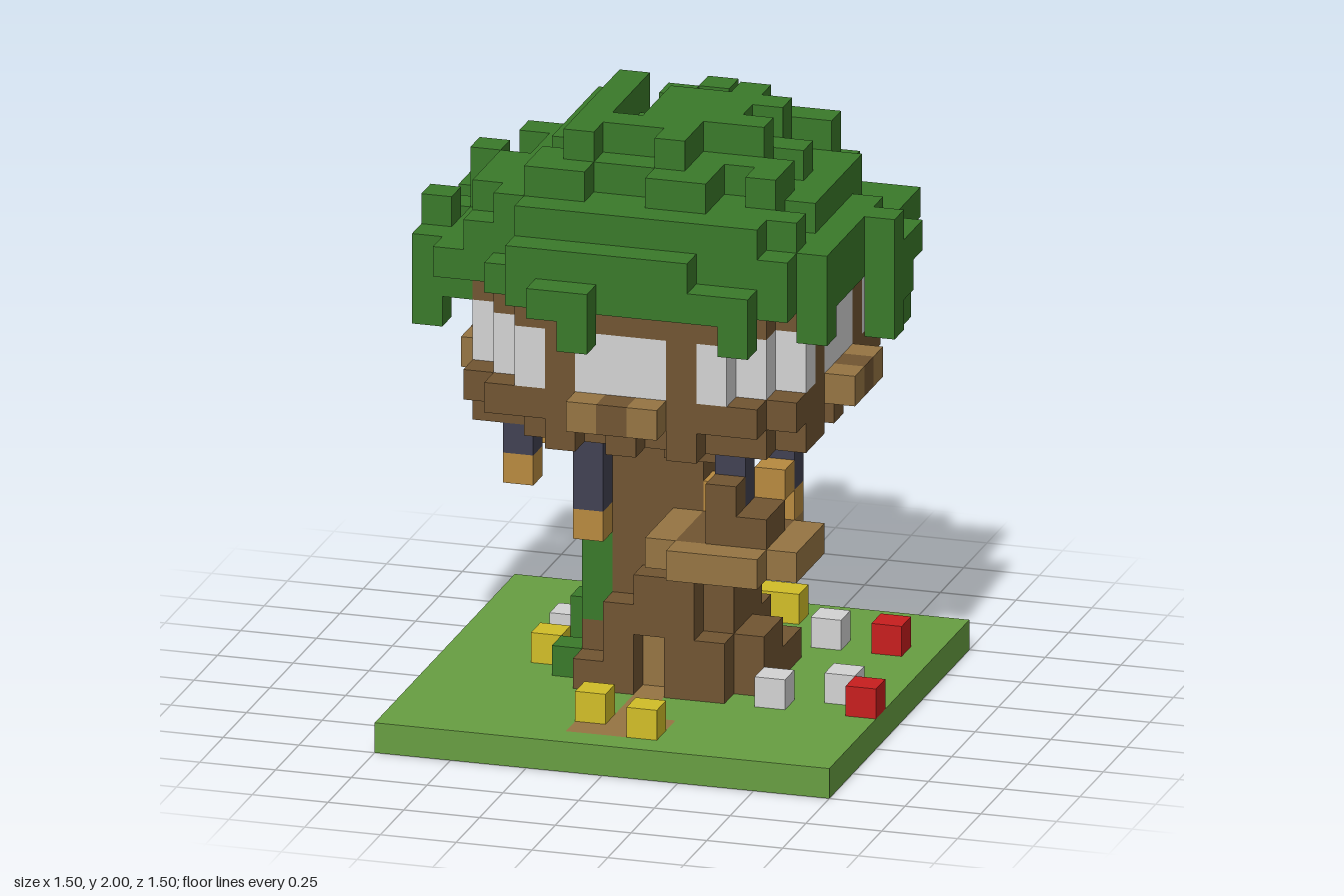
import * as THREE from 'three';

const UNIT = 0.1; // edge of one block

const paint = (name, color) => {
  const m = new THREE.MeshStandardMaterial({ color });
  m.name = name;
  return m;
};

const mats = {
  leaf: paint('leaf green', 0x3a7a2a),
  grass: paint('grass green', 0x689f42),
  bark: paint('bark brown', 0x715532),
  plank: paint('plank tan', 0x967543),
  lamp: paint('lamp amber', 0xb88a40),
  iron: paint('iron navy', 0x414152),
  glass: paint('pale grey', 0xd4d4d4),
  yellow: paint('petal yellow', 0xd2be28),
  red: paint('petal red', 0xc81e1e),
  blue: paint('petal blue', 0x4060c8),
};

// Repeatable pseudo-random value in 0..1 for a cell
const noise = (x, z) => {
  const s = Math.sin(x * 12.99 + z * 78.23 + 3.1) * 43758.55;
  return s - Math.floor(s);
};

export function createModel() {
  const cells = new Map(); // "x,y,z" -> part key
  const parts = new Map(); // part key -> material
  const key = (x, y, z) => `${x},${y},${z}`;

  // Fill a column of blocks from y0 up to y1
  const column = (part, mat, x, z, y0, y1) => {
    parts.set(part, mats[mat]);
    for (let y = y0; y < y1; y++) cells.set(key(x, y, z), part);
  };
  const eachCell = (r, fn) => {
    for (let x = -r; x <= r; x++) for (let z = -r; z <= r; z++) fn(x, z);
  };

  // Lawn with the path laid flush into it
  eachCell(7, (x, z) => column('lawn', 'grass', x, z, 0, 1));
  for (const [x, z] of [[0, 2], [0, 3], [0, 4], [0, 5], [0, 6], [1, 5], [-1, 6]]) column('path', 'plank', x, z, 0, 1);

  // Trunk, flared under the house, and the stepped roots around it
  eachCell(1, (x, z) => column('trunk', 'bark', x, z, 0, 11));
  for (const [x, z] of [[2, 0], [2, 1], [2, 2], [1, 2]]) column('trunk', 'bark', x, z, 9, 10);
  const roots = [
    [3, 0, 3], [3, -1, 2], [3, 1, 3], [2, 0, 5], [2, 1, 5], [2, -1, 4], [2, 2, 3], [2, -2, 3],
    [1, 2, 5], [-1, 2, 4], [-2, 2, 2], [-2, 1, 3], [-2, 0, 3], [-2, -1, 3], [-2, -2, 2],
    [-1, -2, 4], [0, -2, 4], [1, -2, 3], [0, -3, 3], [1, -3, 3], [-2, -3, 2], [3, -2, 2],
  ];
  for (const [x, z, top] of roots) column('roots', 'bark', x, z, Math.abs(x * z) < 3 ? 0 : 1, top);

  // Recessed door under a lintel
  column('lintel', 'bark', 0, 2, 3, 5);
  column('door', 'plank', 0, 1, 1, 3);

  // Side deck with a bench
  for (let x = 1; x <= 5; x++) for (let z = 1; z <= 5; z++) {
    const corner = (x === 5 && (z === 5 || z === 1)) || (x === 1 && z === 5);
    if (corner || (x === 1 && z === 1)) continue;
    const rim = x === 5 || z === 5 || x === 1 || z === 1 || x + z > 7;
    column(rim ? 'deckRim' : 'deckFloor', rim ? 'plank' : 'bark', x, z, 6, 7);
  }
  for (const [x, z, top] of [[3, 4, 9], [4, 4, 8], [3, 3, 8], [4, 3, 8], [3, 2, 8]]) column('bench', 'bark', x, z, 7, top);
  column('stool', 'lamp', 2, 1, 7, 8);
  column('deckLamp', 'lamp', 4, 2, 8, 9);

  // Round house: ragged underside open on one side, floor with a ledge,
  // glazed wall with posts, roof beam
  eachCell(5, (x, z) => {
    const r = Math.hypot(x, z);
    if (r > 6.45) return;
    column('houseFloor', 'bark', x, z, 11, 12);
    if (r > 5.9) return;
    const open = x > 1 && z > -4 && z < 2 && z !== 0;
    const ragged = noise(z, x) > 0.5;
    if (!open && (r < 4.3 || ragged || x * z === 0)) column('underfloor', 'bark', x, z, 10, 11);
    if (r > 4.6) column('windows', 'glass', x, z, 12, 14);
    column('roofBeam', 'bark', x, z, 14, 15);
  });
  column('underfloor', 'bark', 4, -4, 10, 11);
  column('roofBeam', 'bark', 0, -6, 14, 15);
  for (const a of [-1, 1]) {
    column('houseFloor', 'bark', 0, 6 * a, 11, 12);
    column('houseFloor', 'bark', 6 * a, 0, 11, 12);
    for (const b of [-1, 1]) {
      column('posts', 'bark', 2 * a, 5 * b, 12, 14);
      column('posts', 'bark', 5 * a, 2 * b, 12, 14);
      column('sills', 'plank', a, 6 * b, 11, 12);
      column('sills', 'plank', 6 * a, b, 11, 12);
    }
  }

  // Hanging lanterns: [x, z, rod bottom, rod top]
  const lanterns = [
    [4, 1, 8, 11], [-2, -4, 8, 10], [1, -4, 9, 10], [-4, -1, 9, 10], [-4, 3, 9, 10], [-2, 2, 7, 10],
  ];
  for (const [x, z, y0, y1] of lanterns) {
    column('lanternRods', 'iron', x, z, y0, y1);
    column('lanterns', 'lamp', x, z, y0 - 1, y0);
  }
  column('lanternRods', 'iron', 3, 3, 8, 10);

  // Vines: [x, z, bottom, top]
  const vines = [
    [-1, -2, 5, 10], [-2, -2, 5, 7], [-2, -1, 3, 6], [-3, -1, 1, 3], [-2, 1, 3, 6], [-3, 1, 1, 2],
    [0, -2, 9, 10], [1, -2, 9, 11], [2, -2, 9, 11], [2, -1, 9, 11], [1, -3, 9, 10],
  ];
  for (const [x, z, y0, y1] of vines) column('vines', 'leaf', x, z, y0, y1);

  // Crown: outline per row, capped heights, uneven domed top
  const rows = [
    [-4, 2], [-4, 3], [-4, 6], [-6, 6], [-7, 6], [-7, 7], [-6, 7], [-7, 7],
    [-6, 6], [-7, 6], [-7, 6], [-6, 6], [-4, 5], [-3, 4], [-2, -1],
  ];
  const capX = [17, 18, 18, 18, 19, 20, 20, 20, 20, 20, 20, 19, 18, 17, 17];
  const capZ = [17, 17, 19, 19, 19, 20, 20, 20, 20, 20, 20, 19, 18, 17, 16];
  rows.forEach(([x0, x1], i) => {
    const z = i - 7;
    for (let x = x0; x <= x1; x++) {
      if (z === -7 && (x === -2 || x === -1)) continue;
      const r = Math.hypot(x - 0.5, z - 0.5);
      const dome = Math.floor(20.6 - 0.085 * r * r + (noise(x, z) - 0.5) * 1.9);
      const top = Math.max(16, Math.min(dome, capX[x + 7], capZ[i]));
      column('crown', 'leaf', x, z, 15, top);
    }
  });
  for (const [x, z, top] of [[-6, 0, 18], [-5, 2, 18], [0, -5, 19], [-1, -4, 19], [7, 0, 17], [-7, 2, 17], [0, -7, 17]]) {
    column('crown', 'leaf', x, z, 15, top);
  }

  // Leaf tips drooping below the crown: [x, z, bottom]
  const tips = [
    [-1, 7, 14], [4, 6, 14], [6, 4, 14], [7, 0, 13], [7, -1, 14], [6, -4, 12],
    [-7, 3, 13], [-7, 2, 14], [-6, 3, 14], [-3, -7, 13], [-3, -6, 13],
  ];
  for (const [x, z, y0] of tips) column('crown', 'leaf', x, z, y0, 15);

  // Flowers and stones on the lawn
  const scatter = {
    yellow: [[-1, 5], [1, 6], [-4, 0], [1, -6], [2, -6]],
    red: [[7, 2], [6, -4], [0, -5]],
    blue: [[0, -6]],
    glass: [[4, 2], [6, 1], [4, -4], [-3, -6], [-4, -2]],
  };
  for (const [mat, spots] of Object.entries(scatter)) {
    const part = mat === 'glass' ? 'stones' : `${mat}Flowers`;
    for (const [x, z] of spots) column(part, mat, x, z, 1, 2);
  }

  // Turn the blocks into one mesh per part, keeping only exposed faces
  const buffers = new Map([...parts.keys()].map((p) => [p, { pos: [], nor: [], idx: [] }]));
  for (const [k, part] of cells) {
    const c = k.split(',').map(Number);
    const { pos, nor, idx } = buffers.get(part);
    for (let d = 0; d < 3; d++) for (const s of [-1, 1]) {
      const next = [...c];
      next[d] += s;
      if (cells.has(key(...next))) continue;
      const n = [0, 0, 0];
      n[d] = s;
      const first = pos.length / 3;
      for (const [a, b] of [[-1, -1], [1, -1], [1, 1], [-1, 1]]) {
        const p = [c[0], c[1] + 0.5, c[2]];
        p[d] += s / 2;
        p[(d + 1) % 3] += a / 2;
        p[(d + 2) % 3] += b / 2;
        pos.push(...p.map((v) => v * UNIT));
        nor.push(...n);
      }
      const order = s > 0 ? [0, 1, 2, 0, 2, 3] : [0, 2, 1, 0, 3, 2];
      idx.push(...order.map((o) => first + o));
    }
  }

  const group = new THREE.Group();
  group.name = 'treeHouse';
  for (const [part, { pos, nor, idx }] of buffers) {
    if (!idx.length) continue;
    const geo = new THREE.BufferGeometry();
    geo.setAttribute('position', new THREE.Float32BufferAttribute(pos, 3));
    geo.setAttribute('normal', new THREE.Float32BufferAttribute(nor, 3));
    geo.setIndex(idx);
    const mesh = new THREE.Mesh(geo, parts.get(part));
    mesh.name = part;
    group.add(mesh);
  }
  return group;
}
